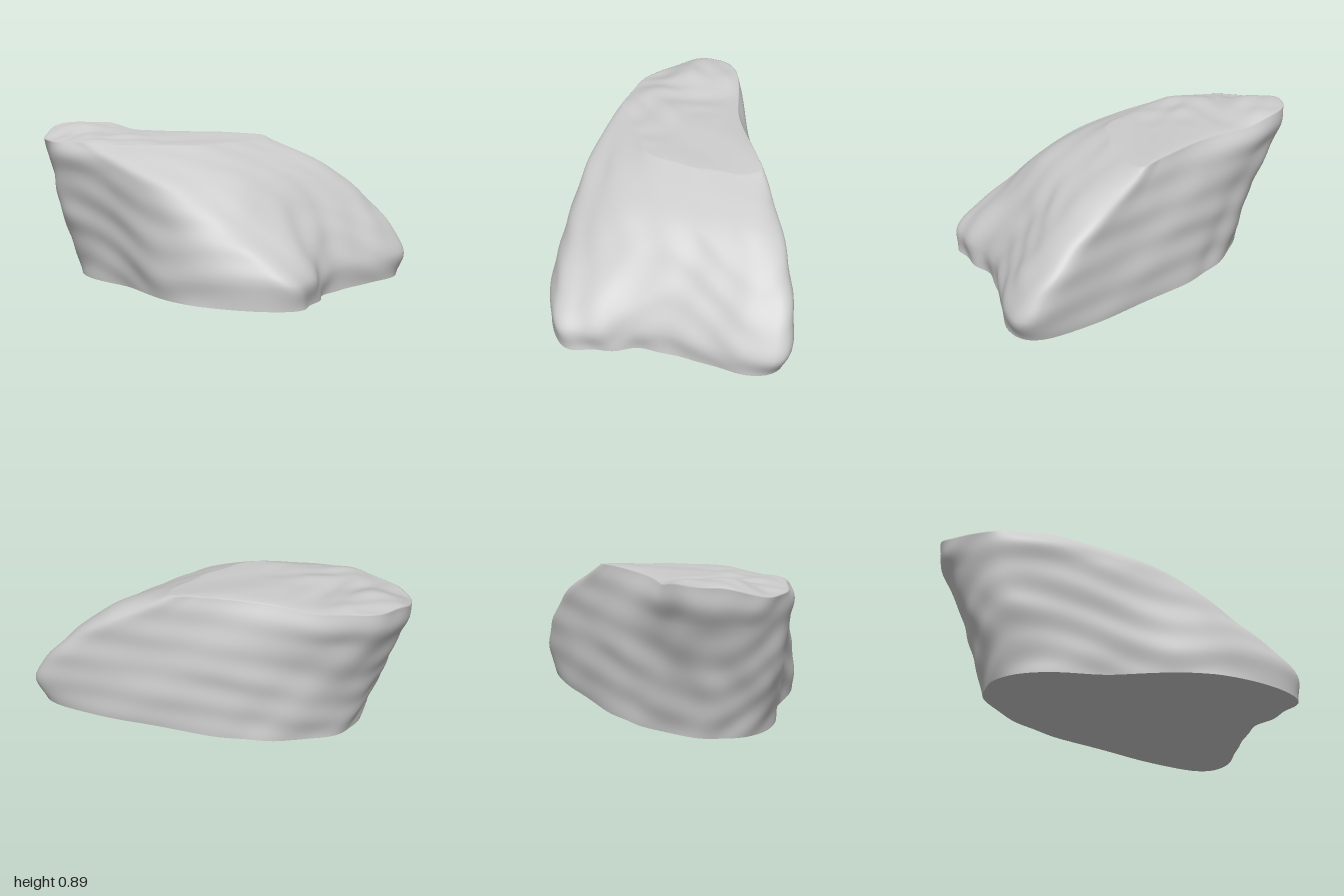
import * as THREE from 'three';

const SIDES = 160, RISE = 60, CAP = 24, TOP = 0.81;
const { smoothstep } = THREE.MathUtils;

// Horizontal outlines [x, z] from the ground up, each running
// front corner -> right corner -> back ridge -> overhanging rear corner -> flank
const LEVELS = [
  { y: 0, p: [[-.57, .63], [-.22, .97], [-.07, .97], [.27, .67], [.9, .39], [.91, .25], [.45, -.22], [0, -.57], [-.47, -.73], [-.64, -.69], [-.81, -.5], [-.71, .02]] },
  { y: .14, p: [[-.57, .64], [-.22, .97], [-.08, .97], [.28, .66], [.95, .38], [.97, .26], [.45, -.22], [0, -.57], [-.47, -.76], [-.68, -.72], [-.83, -.53], [-.73, .02]] },
  { y: .4, p: [[-.58, .54], [-.4, .68], [-.12, .69], [.32, .48], [.83, .24], [.85, .14], [.44, -.22], [-.02, -.57], [-.52, -.83], [-.74, -.78], [-.91, -.55], [-.76, -.01]] },
  { y: .63, p: [[-.66, .28], [-.48, .4], [-.18, .45], [.26, .28], [.63, .06], [.63, -.05], [.36, -.25], [-.05, -.57], [-.54, -.92], [-.8, -.86], [-.95, -.57], [-.8, -.07]] },
  { y: .73, p: [[-.73, .07], [-.5, .2], [-.25, .25], [.14, .13], [.46, -.05], [.45, -.16], [.28, -.29], [-.1, -.58], [-.55, -.97], [-.83, -.9], [-.97, -.59], [-.84, -.15]] },
  { y: TOP, p: [[-.82, -.22], [-.56, -.06], [-.34, .07], [-.03, .0], [.28, -.17], [.31, -.24], [.18, -.34], [-.17, -.59], [-.57, -.98], [-.84, -.91], [-.98, -.6], [-.89, -.36]] },
];

// Soft, irregular weathering of the sides
const weather = (x, y, z) =>
  0.006 * Math.sin(11 * x - 9 * z + 3 * Math.sin(4 * y + 5 * x)) +
  0.004 * Math.sin(19 * x - 16 * z + 2 * Math.sin(9 * y)) +
  0.003 * Math.sin(33 * y + 4 * Math.sin(4 * x - 5 * z));

// Shallow lumps on the top
const lumps = (x, z) =>
  0.009 * Math.sin(17 * x + 2 * Math.sin(11 * z)) * Math.sin(15 * z + 5 * x);

// The top steps up towards the back, with a knob over the rear corner
function lift(x, z) {
  const step = 0.025 * smoothstep(-z, 0.1, 0.4) * smoothstep(x, -0.97, -0.75);
  const knob = 0.045 * (1 - smoothstep(Math.hypot(x + 0.65, z + 0.88), 0.12, 0.34));
  return step + knob;
}

function buildRings() {
  // Smooth closed outline at each level, then a smooth rise between levels
  const outlines = LEVELS.map(({ y, p }) =>
    new THREE.CatmullRomCurve3(p.map(([x, z]) => new THREE.Vector3(x, y, z)), true, 'centripetal'));
  const columns = Array.from({ length: SIDES }, (_, j) =>
    new THREE.CatmullRomCurve3(outlines.map(c => c.getPoint(j / SIDES)), false, 'centripetal'));

  const rings = [];
  for (let i = 0; i <= RISE; i++) {
    const ring = columns.map(c => c.getPoint(i / RISE));
    rings.push(ring.map(({ x, y, z }, j) => {
      const along = ring[(j + 1) % SIDES].clone().sub(ring[(j + SIDES - 1) % SIDES]);
      const out = new THREE.Vector3(-along.z, 0, along.x).normalize();
      return new THREE.Vector3(x, Math.max(0, y) + lift(x, z) * (y / TOP) ** 4, z)
        .addScaledVector(out, weather(x, y, z));
    }));
  }

  // Nearly flat top, closing towards its middle
  const rim = rings[RISE], mid = new THREE.Vector2(-.42, -.42);
  for (let i = 1; i <= CAP; i++) {
    const s = 1 - (i / CAP) ** 1.5;
    rings.push(rim.map(r => {
      const x = mid.x + (r.x - mid.x) * s, z = mid.y + (r.z - mid.y) * s;
      const inside = 1 - s ** 8;
      // Bumpy on the left, smooth over the plateau
      const rough = smoothstep(-x, 0.2, 0.6);
      return new THREE.Vector3(x, TOP + lift(x, z) + inside * (0.008 + rough * lumps(x, z)), z);
    }));
  }
  return rings;
}

function geometryFrom(points, index) {
  const g = new THREE.BufferGeometry().setFromPoints(points);
  g.setIndex(index);
  g.computeVertexNormals();
  return g;
}

export function createModel() {
  const group = new THREE.Group();
  group.name = 'rock';
  const material = new THREE.MeshStandardMaterial({ color: 0xcccccc });
  const rings = buildRings();

  // Weathered sides and top
  const index = [];
  for (let i = 0; i < rings.length - 1; i++) {
    for (let j = 0; j < SIDES; j++) {
      const k = (j + 1) % SIDES;
      const a = i * SIDES + j, b = i * SIDES + k, c = a + SIDES, d = b + SIDES;
      index.push(a, b, c, b, d, c);
    }
  }
  const body = new THREE.Mesh(geometryFrom(rings.flat(), index), material);
  body.name = 'rockBody';

  // Flat underside
  const fan = [];
  for (let j = 0; j < SIDES; j++) fan.push(SIDES, (j + 1) % SIDES, j);
  const base = new THREE.Mesh(geometryFrom([...rings[0], new THREE.Vector3(-.15, 0, .1)], fan), material);
  base.name = 'underside';

  group.add(body, base);
  return group;
}
